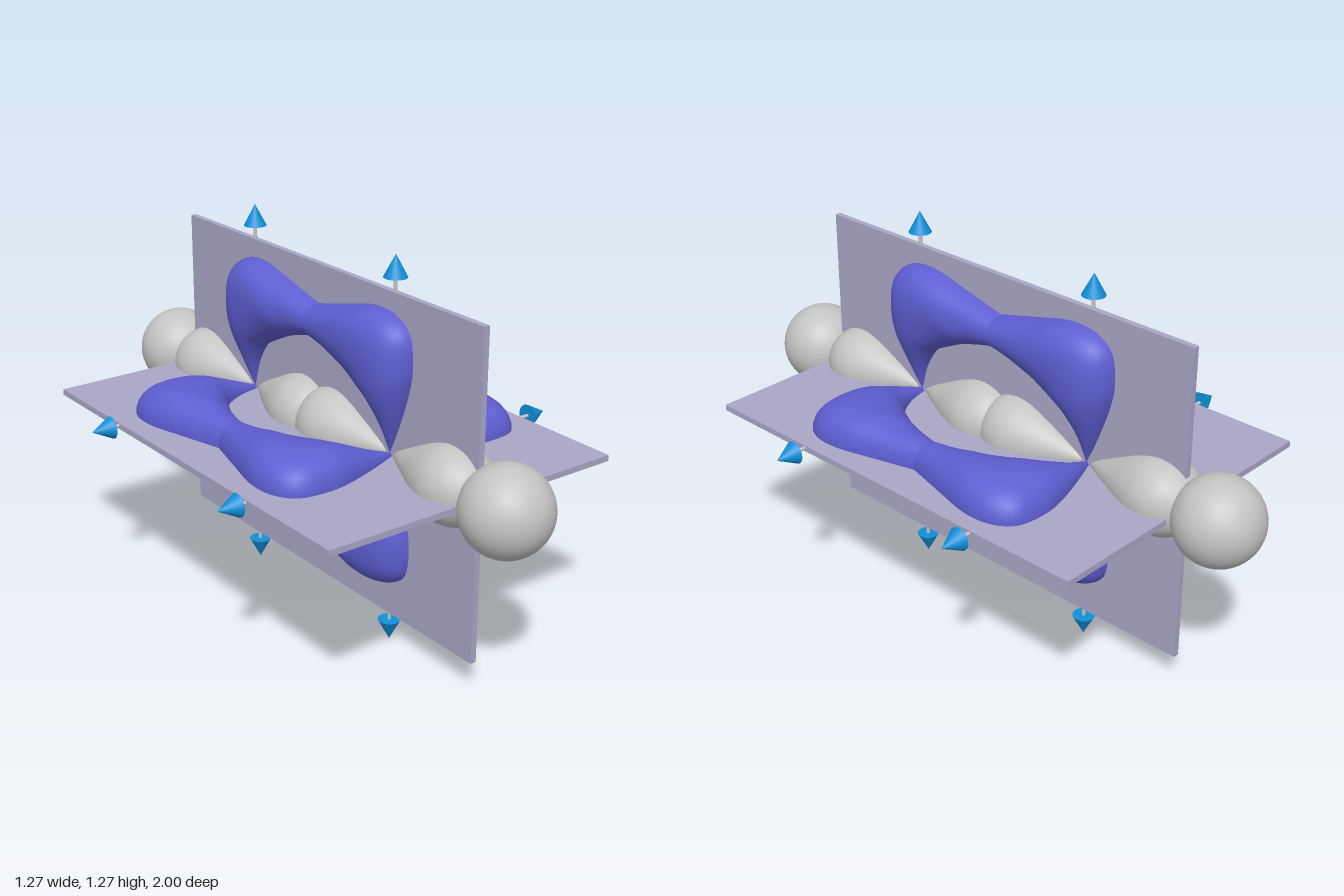
import * as THREE from 'three';

const material = (name, color) => {
  const m = new THREE.MeshStandardMaterial({ color });
  m.name = name;
  return m;
};

// Closed-loop cross-sections swept from the atom up and over to the middle neck.
// Each row: outer z, outer r, inner z, inner r, half width
const SECTIONS = [
  [0.365, 0, 0.355, 0, 0.012],
  [0.405, 0.1, 0.33, 0.09, 0.047],
  [0.445, 0.22, 0.285, 0.165, 0.085],
  [0.46, 0.31, 0.24, 0.195, 0.1],
  [0.445, 0.41, 0.2, 0.215, 0.107],
  [0.38, 0.46, 0.16, 0.235, 0.108],
  [0.28, 0.467, 0.12, 0.25, 0.105],
  [0.15, 0.435, 0.07, 0.265, 0.09],
  [0, 0.395, 0, 0.285, 0.08],
];

function bentLobeGeometry() {
  const outer = new THREE.CatmullRomCurve3(SECTIONS.map(s => new THREE.Vector3(s[4], s[1], s[0])));
  const inner = new THREE.CatmullRomCurve3(SECTIONS.map(s => new THREE.Vector3(0, s[3], s[2])));
  outer.curveType = inner.curveType = 'catmullrom';
  const rows = 40, sides = 36, positions = [], index = [];
  const soften = v => Math.sign(v) * Math.abs(v) ** 0.9;
  for (let i = 0; i <= rows; i++) {
    const o = outer.getPoint(i / rows), n = inner.getPoint(i / rows);
    for (let j = 0; j < sides; j++) {
      const a = (j / sides) * Math.PI * 2;
      const c = soften(Math.cos(a)), s = soften(Math.sin(a));
      positions.push(
        s * o.x,
        (o.y + n.y) / 2 + c * (o.y - n.y) / 2,
        (o.z + n.z) / 2 + c * (o.z - n.z) / 2);
      if (i < rows) {
        const k = (j + 1) % sides, p = i * sides, q = p + sides;
        index.push(p + j, p + k, q + j, p + k, q + k, q + j);
      }
    }
  }
  const g = new THREE.BufferGeometry();
  g.setAttribute('position', new THREE.Float32BufferAttribute(positions, 3));
  g.setIndex(index);
  g.computeVertexNormals();
  return g;
}

// Teardrop lobe with its point at the origin, growing along +z
function teardropGeometry() {
  const profile = new THREE.SplineCurve([
    [0, 0], [0.035, 0.06], [0.066, 0.12], [0.105, 0.2], [0.125, 0.27],
    [0.117, 0.335], [0.085, 0.385], [0.045, 0.412], [0, 0.42],
  ].map(p => new THREE.Vector2(...p)));
  const points = profile.getPoints(36);
  points.forEach(p => { p.x = Math.max(p.x, 0); });
  return new THREE.LatheGeometry(points, 40).rotateX(Math.PI / 2);
}

export function createModel() {
  const model = new THREE.Group();
  model.name = 'orbitalModel';
  const violet = material('violet', 0x5e5ed2);
  const grey = material('light grey', 0xc4c4c2);
  const lilac = material('lilac', 0xaaa6c6);
  const blue = material('bright blue', 0x1090d8);
  const add = (parent, name, geometry, mat, x = 0, y = 0, z = 0) => {
    const mesh = new THREE.Mesh(geometry, mat);
    mesh.name = name;
    mesh.position.set(x, y, z);
    parent.add(mesh);
    return mesh;
  };
  const midZ = -0.007, atomZ = 0.36;

  // Crossing plane sheets
  add(model, 'verticalPlane', new THREE.BoxGeometry(0.02, 1.06, 1.49), lilac, 0, 0.63, 0.004);
  add(model, 'horizontalPlane', new THREE.BoxGeometry(1.065, 0.02, 1.49), lilac, -0.007, 0.63, 0.004);

  // Four bent lobe pairs around the long axis
  const bent = bentLobeGeometry();
  for (let k = 0; k < 4; k++) {
    const pair = new THREE.Group();
    pair.name = 'bentLobePair';
    const upright = k % 2 === 0;
    pair.position.set(0, upright ? 0.655 : 0.635, midZ);
    pair.rotation.z = k * Math.PI / 2;
    pair.scale.y = upright ? 0.955 : 1;
    add(pair, 'bentLobe', bent, violet);
    add(pair, 'bentLobe', bent, violet).rotation.y = Math.PI;
    model.add(pair);
  }

  // Axial teardrop lobes and end spheres
  const drop = teardropGeometry();
  const ball = new THREE.SphereGeometry(0.141, 40, 28);
  for (const side of [1, -1]) {
    const z = midZ + side * atomZ;
    add(model, 'outerLobe', drop, grey, 0, 0.646, z).rotation.y = side > 0 ? 0 : Math.PI;
    add(model, 'innerLobe', drop, grey, 0, 0.646, z).rotation.y = side > 0 ? Math.PI : 0;
    add(model, 'endSphere', ball, grey, 0, 0.645, side * 0.859);
  }

  // Arrows pointing out past the sheet edges
  const shaft = new THREE.CylinderGeometry(0.006, 0.006, 0.1, 12);
  const head = new THREE.ConeGeometry(0.037, 0.07, 28);
  for (const side of [1, -1]) {
    for (let k = 0; k < 4; k++) {
      const arrow = new THREE.Group();
      arrow.name = 'arrow';
      arrow.position.set(0, k % 2 ? 0.631 : 0.637, midZ + side * atomZ);
      arrow.rotation.z = k * Math.PI / 2;
      add(arrow, 'arrowShaft', shaft, grey, 0, 0.525, 0);
      add(arrow, 'arrowHead', head, blue, 0, 0.601, 0);
      model.add(arrow);
    }
  }
  return model;
}
